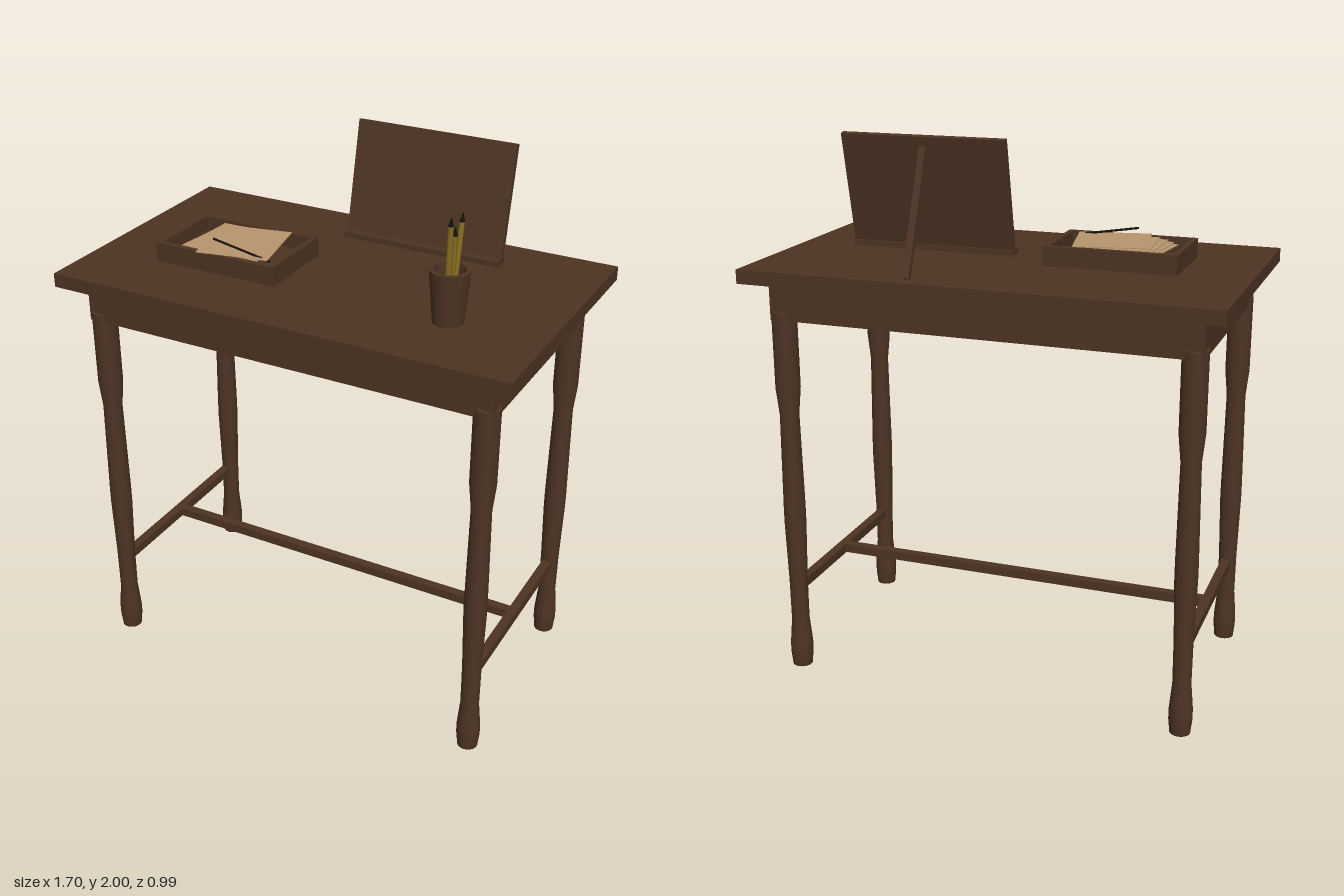
import * as THREE from 'three';

const material = (name, color, side = THREE.FrontSide) => {
  const m = new THREE.MeshStandardMaterial({ color, side });
  m.name = name;
  return m;
};

export function createModel() {
  const wood = material('dark wood', 0x4d3423);
  const paper = material('paper', 0xb8966e);
  const ochre = material('pencil ochre', 0x8f7424);
  const black = material('black', 0x14110f);
  const root = new THREE.Group();
  root.name = 'writingDesk';

  const add = (name, geometry, mat, x = 0, y = 0, z = 0, parent = root) => {
    const mesh = new THREE.Mesh(geometry, mat);
    mesh.name = name;
    mesh.position.set(x, y, z);
    parent.add(mesh);
    return mesh;
  };
  const box = (name, w, h, d, x, y, z, mat = wood, parent = root) =>
    add(name, new THREE.BoxGeometry(w, h, d), mat, x, y, z, parent);
  const lathe = (points, sides) =>
    new THREE.LatheGeometry(points.map(([r, y]) => new THREE.Vector2(r, y)), sides);
  // Place a mesh so that its y axis runs from a to b
  const span = (mesh, a, b) => {
    const dir = b.clone().sub(a).normalize();
    mesh.position.copy(a).add(b).multiplyScalar(0.5);
    mesh.quaternion.setFromUnitVectors(new THREE.Vector3(0, 1, 0), dir);
    return mesh;
  };
  const v = (x, y, z) => new THREE.Vector3(x, y, z);

  // Table top and apron
  box('tableTop', 1.7, 0.05, 0.986, 0, 1.52, 0);
  box('apron', 1.54, 0.14, 0.83, 0, 1.425, 0);

  // Turned legs
  const legShape = lathe([
    [0, 0], [0.037, 0], [0.037, 0.004], [0.042, 0.05], [0.042, 0.09], [0.033, 0.19],
    [0.034, 0.35], [0.04, 0.58], [0.04, 0.64], [0.035, 1.0], [0.045, 1.1],
    [0.045, 1.381], [0.045, 1.385], [0, 1.385],
  ], 20);
  for (const x of [-0.735, 0.735])
    for (const z of [-0.38, 0.38]) add('leg', legShape, wood, x, 0, z);

  // H-shaped stretchers
  for (const x of [-0.735, 0.735]) box('sideStretcher', 0.034, 0.034, 0.74, x, 0.322, 0);
  box('longStretcher', 1.46, 0.034, 0.034, 0, 0.322, 0);

  // Easel with board, ledge and rear prop
  const easel = new THREE.Group();
  easel.name = 'easel';
  root.add(easel);
  const board = box('board', 0.59, 0.395, 0.02, 0.235, 1.806, -0.24, wood, easel);
  board.rotation.x = -0.215;
  box('ledge', 0.59, 0.02, 0.056, 0.235, 1.61, -0.19, wood, easel);
  const propTop = v(0.235, 1.96, -0.276), propFoot = v(0.235, 1.548, -0.442);
  const prop = box('prop', 0.024, propTop.distanceTo(propFoot), 0.02, 0, 0, 0, wood, easel);
  span(prop, propFoot, propTop);

  // Open paper tray
  const tray = new THREE.Group();
  tray.name = 'paperTray';
  tray.position.set(-0.36, 1.545, 0.0725);
  root.add(tray);
  box('trayFloor', 0.47, 0.016, 0.31, 0, 0.008, 0, wood, tray);
  for (const s of [-1, 1]) {
    box('trayLongWall', 0.476, 0.07, 0.02, 0, 0.035, s * 0.1475, wood, tray);
    box('trayShortWall', 0.02, 0.07, 0.275, s * 0.228, 0.035, 0, wood, tray);
  }

  // Fanned paper sheets, lowest first: x, z, turn
  const sheets = [
    [-0.39, 0.075, -0.13], [-0.38, 0.075, -0.06], [-0.365, 0.075, 0],
    [-0.345, 0.08, 0.08], [-0.325, 0.085, 0.2],
  ];
  sheets.forEach(([x, z, turn], i) => {
    box('paperSheet', 0.262, 0.003, 0.265, x, 1.594 + i * 0.0055, z, paper).rotation.y = turn;
  });

  // Pen resting on the papers
  const penA = v(-0.395, 1.648, 0.174), penB = v(-0.168, 1.61, 0.178);
  const pen = add('pen', new THREE.CylinderGeometry(0.004, 0.004, penA.distanceTo(penB), 8), black);
  span(pen, penA, penB);

  // Pencil cup
  const cup = new THREE.Group();
  cup.name = 'pencilCup';
  cup.position.set(0.51, 1.545, 0.197);
  root.add(cup);
  add('cupOutside', new THREE.CylinderGeometry(0.068, 0.052, 0.184, 24, 1, true), wood, 0, 0.092, 0, cup);
  const rim = add('cupRim', new THREE.RingGeometry(0.052, 0.068, 24), wood, 0, 0.184, 0, cup);
  rim.rotation.x = -Math.PI / 2;
  const inside = new THREE.CylinderGeometry(0.052, 0.042, 0.174, 24, 1, true);
  inside.scale(-1, 1, 1); // mirrored so that it faces inward
  inside.computeVertexNormals();
  add('cupInside', inside, material('dark wood lining', 0x4d3423, THREE.DoubleSide), 0, 0.097, 0, cup);
  add('cupFloor', new THREE.CylinderGeometry(0.05, 0.05, 0.01, 24), wood, 0, 0.006, 0, cup);

  // Pencils: foot x, z and tip x, y, z inside the cup
  const pencils = [
    [-0.01, 0.0, 0.014, 0.372, 0.04],
    [0.01, 0.005, 0.026, 0.37, -0.022],
    [0.0, -0.015, 0.02, 0.335, 0.02],
  ];
  for (const [fx, fz, tx, ty, tz] of pencils) {
    const foot = v(fx, 0.012, fz), tip = v(tx, ty, tz);
    const length = foot.distanceTo(tip);
    const pencil = new THREE.Group();
    pencil.name = 'pencil';
    cup.add(pencil);
    span(pencil, foot, tip);
    const shaft = length - 0.03;
    add('pencilShaft', new THREE.CylinderGeometry(0.009, 0.009, shaft, 6).toNonIndexed(), ochre, 0, -0.015, 0, pencil);
    add('pencilTip', new THREE.CylinderGeometry(0.001, 0.009, 0.03, 6), black, 0, length / 2 - 0.015, 0, pencil);
  }
  return root;
}
